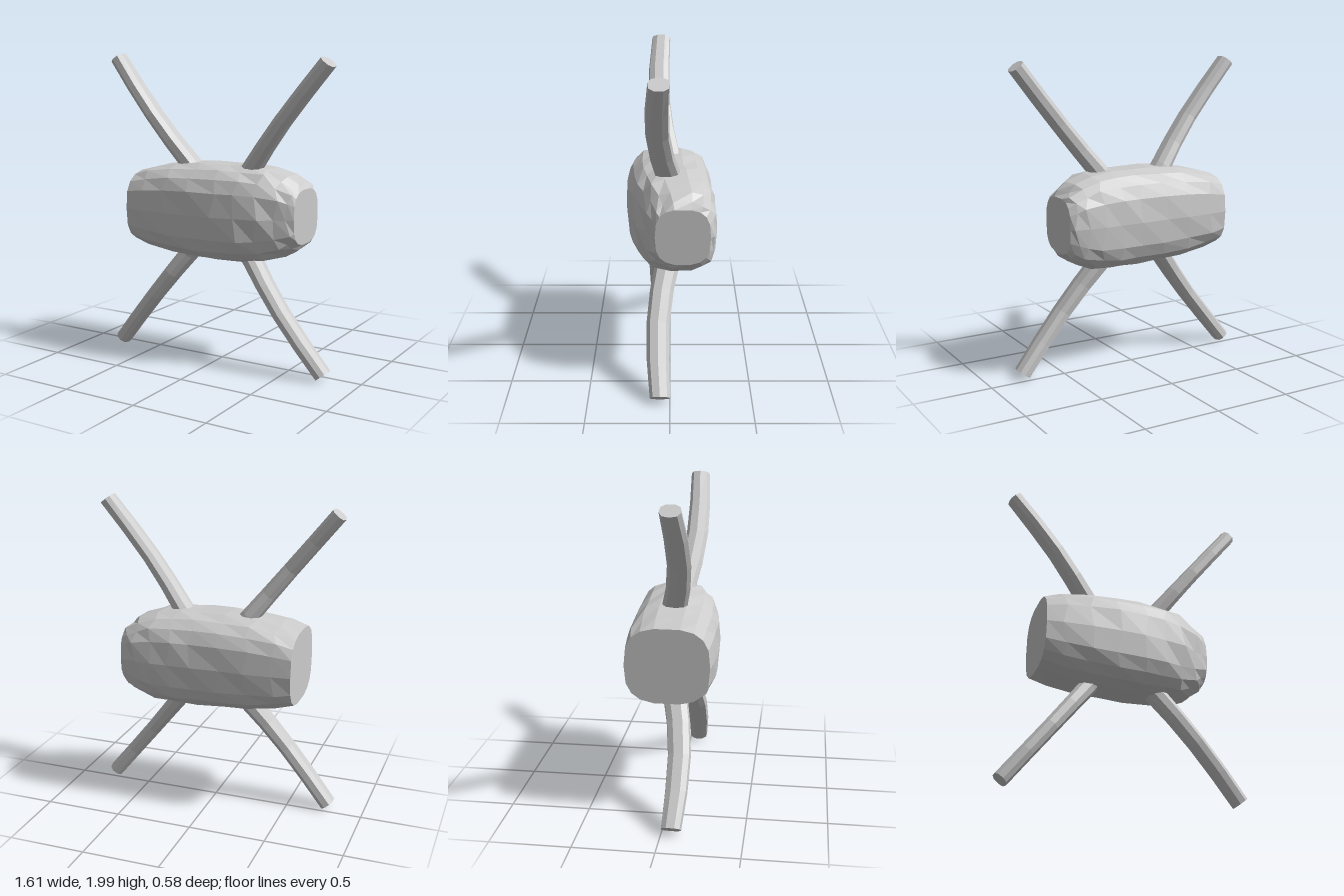
import * as THREE from 'three';

const material = new THREE.MeshStandardMaterial({ color: 0xcccccc, flatShading: true });

// Skin a list of closed rings (arrays of Vector3) and cap both ends.
function loft(rings) {
  const n = rings[0].length;
  const pos = [], index = [];
  rings.forEach((ring) => ring.forEach((p) => pos.push(p.x, p.y, p.z)));
  for (let i = 0; i < rings.length - 1; i++) {
    for (let j = 0; j < n; j++) {
      const k = (j + 1) % n;
      const a = i * n + j, b = i * n + k, c = b + n, d = a + n;
      index.push(a, b, c, a, c, d);
    }
  }
  const last = (rings.length - 1) * n;
  for (let j = 1; j < n - 1; j++) {
    index.push(0, j + 1, j);
    index.push(last, last + j, last + j + 1);
  }
  const geometry = new THREE.BufferGeometry();
  geometry.setAttribute('position', new THREE.Float32BufferAttribute(pos, 3));
  geometry.setIndex(index);
  geometry.computeVertexNormals();
  return geometry;
}

function named(name, geometry) {
  const mesh = new THREE.Mesh(geometry, material);
  mesh.name = name;
  return mesh;
}

const soften = (v, e) => Math.sign(v) * Math.pow(Math.abs(v), 2 / e);

// Rounded-square log along x: [x, half height, back z, front z]
function bodyGeometry() {
  const sections = [
    [-0.57, 0.235, -0.25, 0.27],
    [-0.45, 0.27, -0.263, 0.28],
    [-0.28, 0.298, -0.272, 0.287],
    [-0.1, 0.31, -0.277, 0.285],
    [0.08, 0.313, -0.28, 0.27],
    [0.22, 0.31, -0.288, 0.245],
    [0.35, 0.297, -0.29, 0.205],
    [0.46, 0.255, -0.285, 0.15],
    [0.53, 0.21, -0.27, 0.115],
    [0.565, 0.175, -0.245, 0.09],
  ];
  const sides = 18;
  return loft(sections.map(([x, h, back, front], i) => {
    const ring = [];
    for (let j = 0; j < sides; j++) {
      const a = ((j + 0.5) / sides) * Math.PI * 2;
      const inner = i > 0 && i < sections.length - 1;
      // slight hewn unevenness
      const wobble = inner ? 1 + 0.012 * Math.sin(i * 2.7 + j * 4.1) : 1;
      const shift = inner ? 0.018 * Math.sin(i * 1.9 + j * 2.3) : 0;
      ring.push(new THREE.Vector3(
        x + shift,
        1 + h * wobble * soften(Math.cos(a), 2.9),
        (front + back) / 2 + ((front - back) / 2) * wobble * soften(Math.sin(a), 2.9),
      ));
    }
    return ring;
  }));
}

// Bowed limb running diagonally out of the body: [x, height from middle, z, half width, half depth]
function limbGeometry(sx, sy) {
  const stations = [
    [0.13, 0.165, 0.0, 0.06, 0.08],
    [0.235, 0.3, 0.015, 0.058, 0.08],
    [0.345, 0.44, 0.05, 0.054, 0.076],
    [0.475, 0.605, 0.073, 0.051, 0.073],
    [0.62, 0.785, 0.073, 0.05, 0.07],
    [0.765, 0.965, 0.06, 0.05, 0.063],
  ];
  const dir = new THREE.Vector3(0.62 * sx, 0.785 * sy, 0).normalize();
  const sides = 9;
  return loft(stations.map(([x, y, z, w, d]) => {
    const ring = [];
    for (let j = 0; j < sides; j++) {
      const a = (j / sides) * Math.PI * 2;
      const across = w * soften(Math.cos(a), 2.4);
      ring.push(new THREE.Vector3(
        sx * x - dir.y * across,
        1 + sy * y + dir.x * across,
        z + d * soften(Math.sin(a), 2.4),
      ));
    }
    return ring;
  }));
}

export function createModel() {
  const model = new THREE.Group();
  model.name = 'logWithLimbs';
  model.add(named('body', bodyGeometry()));
  for (const sx of [1, -1]) {
    for (const sy of [1, -1]) {
      const name = (sy > 0 ? 'upper' : 'lower') + (sx > 0 ? 'Left' : 'Right') + 'Limb';
      model.add(named(name, limbGeometry(sx, sy)));
    }
  }
  return model;
}
